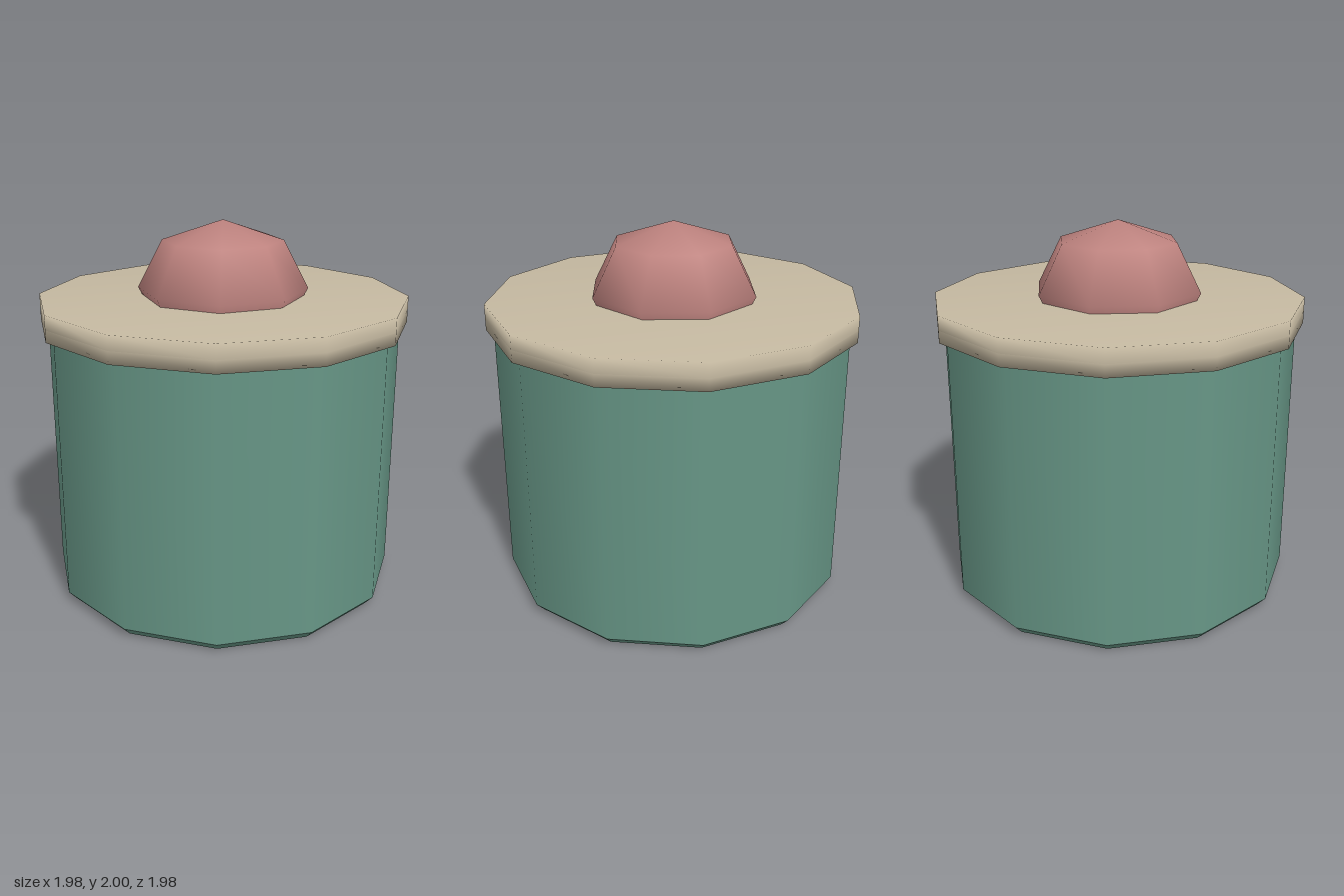
import * as THREE from 'three';
import { mergeVertices } from 'three/addons/utils/BufferGeometryUtils.js';

const SIDES = 12;

function material(name, color) {
  const m = new THREE.MeshStandardMaterial({ color });
  m.name = name;
  return m;
}

function lathe(points) {
  return new THREE.LatheGeometry(points.map(([r, y]) => new THREE.Vector2(r, y)), SIDES);
}

// Weld all corners so the shading rolls softly over the rim
function soften(geometry) {
  geometry.deleteAttribute('uv');
  geometry.deleteAttribute('normal');
  const welded = mergeVertices(geometry, 1e-4);
  welded.computeVertexNormals();
  return welded;
}

export function createModel() {
  const group = new THREE.Group();
  group.name = 'lidded jar';
  const green = material('jar green', 0x679686);
  const cream = material('lid cream', 0xc5b9a1);
  const rose = material('knob rose', 0xbd827e);

  const add = (name, geometry, mat) => {
    const mesh = new THREE.Mesh(geometry, mat);
    mesh.name = name;
    group.add(mesh);
    return mesh;
  };

  // Jar body with a bevelled foot; doubled points keep the edges crisp
  add('body', lathe([
    [0, 0], [0.905, 0], [0.905, 0], [0.95, 0.05], [0.95, 0.05],
    [0.95, 1.47], [0.95, 1.47], [0, 1.47],
  ]), green);

  // Lid in two stacked layers that meet at a seam around the rim
  add('lidLower', soften(lathe([[0, 1.46], [0.99, 1.46], [0.99, 1.525]])), cream);
  add('lidUpper', soften(lathe([[0.99, 1.525], [0.99, 1.6], [0, 1.6]])), cream);

  // Squashed low-poly knob sunk into the lid
  const knob = add('knob', new THREE.SphereGeometry(0.455, 8, 4), rose);
  knob.scale.y = 0.36 / 0.455;
  knob.position.y = 1.64;

  return group;
}
